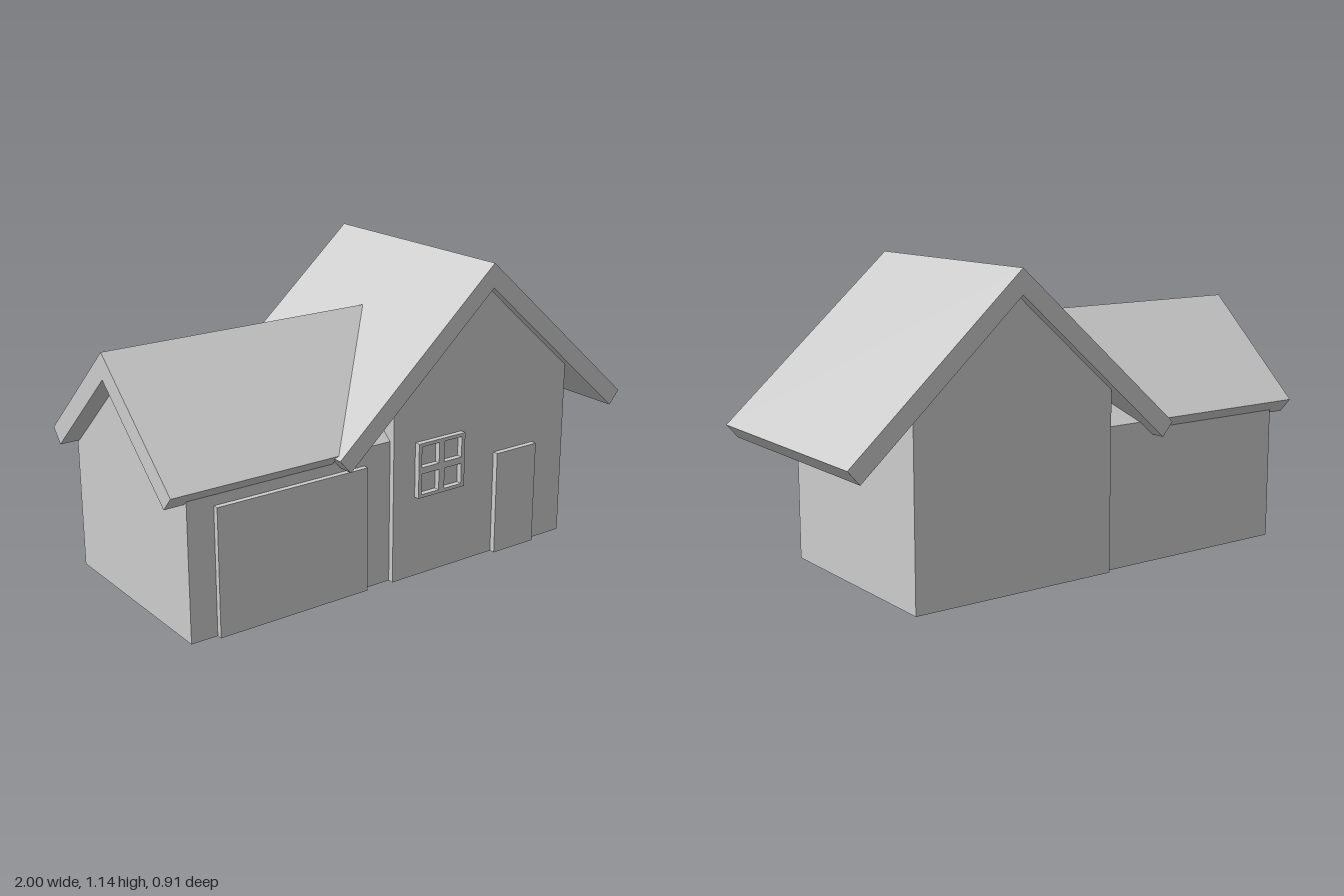
import * as THREE from 'three';

const material = new THREE.MeshStandardMaterial({ color: 0xcccccc, flatShading: true });

function shapeFrom(points) {
  return new THREE.Shape(points.map(([x, y]) => new THREE.Vector2(x, y)));
}

function extrude(shape, depth) {
  return new THREE.ExtrudeGeometry(shape, { depth, bevelEnabled: false });
}

// Profile in x/y, running from z0 to z1
function alongZ(points, z0, z1) {
  return extrude(shapeFrom(points), z1 - z0).translate(0, 0, z0);
}

// Profile in z/y, running from x0 to x1
function alongX(points, x0, x1) {
  return extrude(shapeFrom(points), x1 - x0).rotateY(-Math.PI / 2).translate(x1, 0, 0);
}

// Pentagon wall outline with a gable
function gable(left, right, eave, ridgeAt, ridge) {
  return [[left, 0], [right, 0], [right, eave], [ridgeAt, ridge], [left, eave]];
}

function rect(x0, x1, y0, y1) {
  return [[x0, y0], [x1, y0], [x1, y1], [x0, y1]];
}

export function createModel() {
  const house = new THREE.Group();
  house.name = 'house';
  const add = (name, geometry) => {
    const mesh = new THREE.Mesh(geometry, material);
    mesh.name = name;
    house.add(mesh);
  };

  // Main wing: gable faces the front
  const ridgeX = 0.322, ridgeY = 1.14, eaveY = 0.54, halfSpan = 0.678;
  const slope = (ridgeY - eaveY) / halfSpan;
  add('mainWalls', alongZ(gable(-0.095, 0.735, 0.683, ridgeX, 1.049), -0.415, 0.415));
  add('mainRoof', alongZ([
    [ridgeX - halfSpan, eaveY], [ridgeX - halfSpan + 0.045, 0.488], [ridgeX, 1.049],
    [ridgeX + halfSpan - 0.045, 0.488], [ridgeX + halfSpan, eaveY], [ridgeX, ridgeY],
  ], -0.453, 0.453));

  // Garage wing: ridge runs sideways into the main roof
  add('garageWalls', alongX(gable(-0.393, 0.393, 0.54, -0.01, 0.88), -0.925, -0.09));
  const garageRoof = alongX([
    [-0.428, 0.55], [-0.38, 0.497], [-0.01, 0.833],
    [0.38, 0.497], [0.428, 0.55], [-0.01, 0.93],
  ], -1, 0);
  // Mitre the inner end to the slope of the main roof
  const p = garageRoof.attributes.position;
  for (let i = 0; i < p.count; i++) {
    if (p.getX(i) > -0.5) {
      p.setX(i, Math.max(ridgeX - (ridgeY - p.getY(i)) / slope, -0.345));
    }
  }
  garageRoof.computeVertexNormals();
  add('garageRoof', garageRoof);

  // Doors stand slightly proud of the walls
  add('garageDoor', alongZ(rect(-0.823, -0.208, 0, 0.473), 0.38, 0.414));
  add('frontDoor', alongZ(rect(0.38, 0.577, 0, 0.403), 0.4, 0.437));

  // Window frame with four panes
  const frame = shapeFrom(rect(0.003, 0.219, 0.312, 0.521));
  for (const x of [0.017, 0.123]) {
    for (const y of [0.325, 0.429]) {
      frame.holes.push(shapeFrom(rect(x, x + 0.08, y, y + 0.079)));
    }
  }
  add('windowFrame', extrude(frame, 0.022).translate(0, 0, 0.415));

  return house;
}
